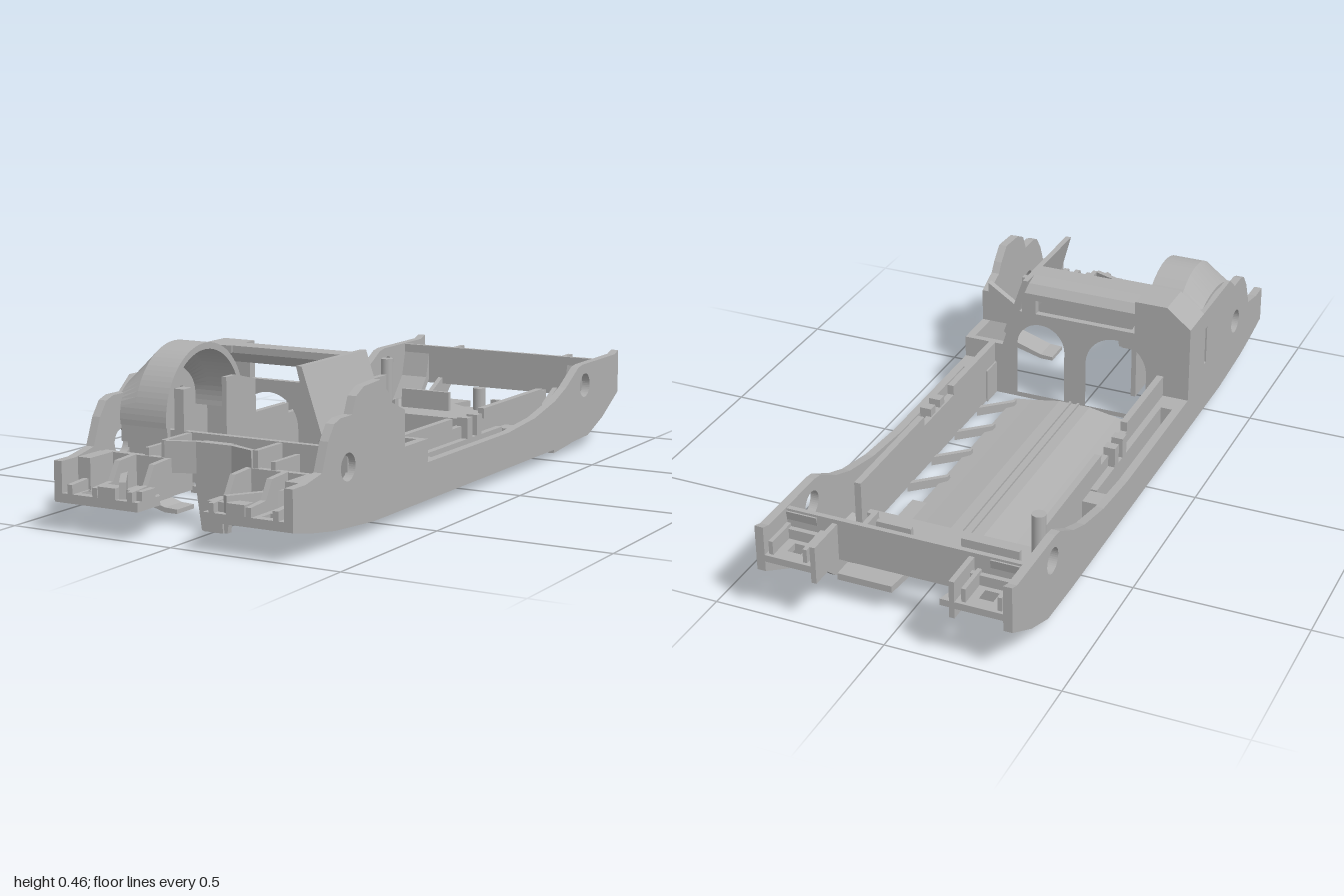
import * as THREE from 'three';

const grey = new THREE.MeshStandardMaterial({ color: 0xb0b0b0 });
grey.name = 'grey plastic';

export function createModel() {
  const model = new THREE.Group();
  model.name = 'chassis';

  const add = (name, geo) => {
    const m = new THREE.Mesh(geo, grey);
    m.name = name;
    model.add(m);
    return m;
  };
  const box = (name, x0, x1, y0, y1, z0, z1) => {
    const g = new THREE.BoxGeometry(x1 - x0, y1 - y0, z1 - z0);
    g.translate((x0 + x1) / 2, (y0 + y1) / 2, (z0 + z1) / 2);
    return add(name, g);
  };
  // The same box on both sides
  const pair = (name, x0, x1, ...r) => {
    box(name, x0, x1, ...r);
    box(name, -x1, -x0, ...r);
  };
  const poly = (pts) => new THREE.Shape(pts.map((p) => new THREE.Vector2(p[0], p[1])));
  const extrude = (shape, depth) =>
    new THREE.ExtrudeGeometry(shape, { depth, bevelEnabled: false, curveSegments: 20 });
  const round = (x, y, r) => new THREE.Path().absarc(x, y, r, 0, Math.PI * 2, true);
  const rect = (x0, x1, y0, y1) =>
    new THREE.Path([[x0, y0], [x0, y1], [x1, y1], [x1, y0]].map((p) => new THREE.Vector2(...p)));
  // Side profile (z, y) spanning x0..x1
  const side = (name, shape, x0, x1) =>
    add(name, extrude(shape, x1 - x0).rotateY(-Math.PI / 2).translate(x1, 0, 0));
  // Plan outline (x, z) spanning y0..y1
  const plan = (name, shape, y0, y1) =>
    add(name, extrude(shape, y1 - y0).rotateX(Math.PI / 2).translate(0, y1, 0));
  // Front outline (x, y) spanning z0..z1
  const front = (name, shape, z0, z1) => add(name, extrude(shape, z1 - z0).translate(0, 0, z0));
  const flip = (pts, s) => pts.map(([x, y]) => [x * s, y]);

  // Outer side walls with axle holes; the tops differ left and right
  const under = [[-1, 0.14], [-0.88, 0.075], [-0.77, 0.035], [-0.6, 0.03], [0.6, 0.03], [0.8, 0.045], [0.9, 0.06],
    [1, 0.08], [1, 0.19], [0.94, 0.19], [0.86, 0.205], [0.83, 0.28], [0.8, 0.32], [0.77, 0.33], [0.71, 0.33]];
  const rear = [[0.3, 0.135], [-0.2, 0.135], [-0.38, 0.15], [-0.52, 0.18], [-0.6, 0.21], [-0.69, 0.26], [-0.72, 0.265],
    [-0.97, 0.265], [-1, 0.275]];
  const tops = {
    1: [[0.69, 0.375], [0.65, 0.395], [0.56, 0.4], [0.52, 0.36], [0.5, 0.33], [0.43, 0.3], [0.43, 0.2], [0.3, 0.2]],
    [-1]: [[0.66, 0.37], [0.3, 0.37]],
  };
  for (const s of [1, -1]) {
    const shape = poly([...under, ...tops[s], ...rear]);
    shape.holes.push(round(0.73, 0.198, 0.037), round(-0.74, 0.198, 0.037));
    if (s < 0) shape.holes.push(rect(0.44, 0.455, 0.19, 0.31));
    side('outerWall', shape, s > 0 ? 0.34 : -0.365, s > 0 ? 0.365 : -0.34);

    // Inner rail with a notched top edge
    const rail = poly([[0.3, 0.03], [0.3, 0.2], [0, 0.2], [0, 0.17], [-0.2, 0.17], [-0.2, 0.2], [-0.6, 0.2], [-0.6, 0.03]]);
    side('innerRail', rail, s > 0 ? 0.265 : -0.285, s > 0 ? 0.285 : -0.265);

    // Diagonal ribs joining floor and rail
    for (const z of [-0.31, -0.15, 0.01, 0.17]) {
      plan('floorRib', poly(flip([[0.18, z + 0.08], [0.27, z], [0.27, z + 0.018], [0.18, z + 0.098]], s)), 0.008, 0.035);
    }
    // Curved rear wheel well liner
    const liner = poly([[-0.56, 0.03], [-0.68, 0.04], [-0.78, 0.09], [-0.84, 0.16], [-0.865, 0.255], [-0.88, 0.255],
      [-0.86, 0.15], [-0.79, 0.07], [-0.68, 0.02], [-0.56, 0.01]]);
    side('wheelWellLiner', liner, s > 0 ? 0.25 : -0.345, s > 0 ? 0.345 : -0.25);
    // Rising strut below the rear deck
    const strut = poly([[-0.5, 0.012], [-0.72, 0.015], [-0.88, 0.09], [-0.97, 0.17], [-0.88, 0.17], [-0.7, 0.08], [-0.5, 0.03]]);
    side('rearStrut', strut, s > 0 ? 0.2 : -0.215, s > 0 ? 0.215 : -0.2);

    // Bumper plates with square screw holes, rear and front
    const rearPlate = poly(flip([[0.19, -1], [0.35, -1], [0.35, -0.88], [0.19, -0.88]], s));
    rearPlate.holes.push(rect(s * 0.275 - 0.02, s * 0.275 + 0.02, -0.96, -0.92));
    plan('rearBumperPlate', rearPlate, 0.17, 0.19);
    const frontPlate = poly(flip([[0.13, 0.82], [0.35, 0.82], [0.35, 1], [0.1, 1], [0.1, 0.9], [0.13, 0.87]], s));
    frontPlate.holes.push(rect(s * 0.28 - 0.02, s * 0.28 + 0.02, 0.935, 0.975));
    plan('frontBumperPlate', frontPlate, 0.08, 0.105);
    // Sloping lower edge of the floor pan
    front('lowerSkirt', poly(flip([[0.345, 0.03], [0.24, 0.002], [0.2, 0.002], [0.2, 0.014], [0.24, 0.016], [0.345, 0.05]], s)), 0.6, 0.68);
    front('lowerSkirtRear', poly(flip([[0.345, 0.03], [0.25, 0.006], [0.2, 0.004], [0.2, 0.018], [0.25, 0.02], [0.345, 0.045]], s)), -0.6, -0.52);
  }
  // Bridges and clips between inner and outer rails
  pair('railBridge', 0.28, 0.345, 0.03, 0.13, -0.34, -0.28);
  pair('railBridge', 0.26, 0.345, 0.03, 0.135, 0.23, 0.3);
  pair('railLedge', 0.28, 0.305, 0.07, 0.135, -0.28, 0.23);
  for (const z of [-0.13, -0.07]) pair('railClip', 0.27, 0.305, 0.135, 0.195, z - 0.015, z + 0.015);

  // Gently raised floor, narrower toward the rear
  const top = [[-0.2, 0.018], [-0.14, 0.026], [-0.05, 0.042], [0.05, 0.042], [0.14, 0.026], [0.2, 0.018]];
  const bottom = top.map(([x, y]) => [x, y - 0.014]).reverse();
  front('floor', poly([...top, ...bottom]), -0.56, 0.3);
  for (const x of [-0.013, 0.013]) box('floorRidge', x - 0.003, x + 0.003, 0.04, 0.049, -0.56, 0.3);
  pair('floorEdge', 0.185, 0.23, 0.006, 0.02, -0.56, -0.36);

  // Rear deck with a notch, posts and partitions
  plan('rearDeck', poly([[-0.25, -0.56], [-0.25, -0.78], [-0.2, -0.87], [-0.1, -0.87], [-0.12, -0.79], [-0.07, -0.76],
    [0.03, -0.77], [0.04, -0.87], [0.2, -0.87], [0.25, -0.78], [0.25, -0.56]]), 0.07, 0.09);
  box('deckFrontLip', -0.27, 0.27, 0.015, 0.09, -0.57, -0.55);
  box('deckPartition', -0.24, -0.07, 0.09, 0.15, -0.67, -0.655);
  box('deckPartition', 0.08, 0.2, 0.09, 0.14, -0.67, -0.655);
  box('deckPartition', 0.185, 0.2, 0.09, 0.16, -0.81, -0.65);
  for (const [x, z, h] of [[0, -0.735, 0.08], [-0.275, -0.62, 0.17]]) {
    add('post', new THREE.CylinderGeometry(0.02, 0.02, h, 16).translate(x, 0.08 + h / 2, z));
  }
  box('rearCrossWall', -0.345, 0.345, 0.14, 0.262, -0.875, -0.86);
  pair('rearBumperRib', 0.19, 0.205, 0.14, 0.25, -1, -0.875);
  pair('rearBumperRib', 0.2, 0.35, 0.14, 0.22, -0.905, -0.89);
  pair('rearBumperRib', 0.22, 0.232, 0.17, 0.23, -0.99, -0.89);
  pair('rearBumperRib', 0.32, 0.332, 0.17, 0.23, -0.99, -0.89);

  // Firewall with two arched openings
  const wall = poly([[-0.345, 0.03], [-0.345, 0.325], [0.2, 0.325], [0.24, 0.2], [0.345, 0.2], [0.345, 0.03]]);
  for (const [x0, x1] of [[-0.23, -0.035], [0.035, 0.19]]) {
    const r = (x1 - x0) / 2, y = 0.29 - r;
    const arch = new THREE.Path();
    arch.moveTo(x0, 0.045);
    arch.lineTo(x0, y);
    arch.absarc((x0 + x1) / 2, y, r, Math.PI, 0, true);
    arch.lineTo(x1, 0.045);
    arch.closePath();
    wall.holes.push(arch);
  }
  front('firewall', wall, 0.3, 0.32);

  // Rounded cross beam, dropping to the right-hand wall
  const beam = side('crossBeam', poly([[0.3, 0.37], [0.3, 0.39], [0.32, 0.415], [0.35, 0.43], [0.415, 0.43], [0.415, 0.41],
    [0.35, 0.405], [0.325, 0.37]]), -0.28, 0.17);
  beam.geometry.computeVertexNormals();
  front('beamShoulder', poly([[-0.365, 0.3], [-0.365, 0.37], [-0.29, 0.43], [-0.19, 0.43], [-0.19, 0.325]]), 0.3, 0.325);
  front('beamShoulderTop', poly([[-0.365, 0.35], [-0.365, 0.37], [-0.29, 0.43], [-0.19, 0.43], [-0.19, 0.41], [-0.28, 0.41]]), 0.3, 0.42);
  box('beamPost', 0.13, 0.175, 0.32, 0.375, 0.3, 0.325);
  // Slanted motor guard and its triangular gusset
  front('motorGuard', poly([[0.155, 0.43], [0.172, 0.43], [0.235, 0.245], [0.22, 0.235], [0.205, 0.245]]), 0.3, 0.64);
  front('guardGusset', poly([[0.215, 0.2], [0.215, 0.245], [0.345, 0.33], [0.345, 0.2]]), 0.43, 0.45);

  // Arched gear cover whose outer edge slopes down to the wall
  const arc = new THREE.Shape();
  arc.absarc(0.55, 0.265, 0.19, -0.1, Math.PI + 0.1, false);
  arc.absarc(0.55, 0.265, 0.172, Math.PI + 0.1, -0.1, true);
  side('gearCover', arc, -0.29, -0.19);
  const slope = side('gearCoverShoulder', arc, -0.35, -0.29).geometry;
  const p = slope.attributes.position;
  for (let i = 0; i < p.count; i++) {
    if (p.getX(i) < -0.32 && p.getY(i) > 0.3) p.setY(i, 0.3 + (p.getY(i) - 0.3) * 0.55);
  }
  slope.computeVertexNormals();
  box('gearCoverFoot', -0.34, -0.19, 0.2, 0.3, 0.72, 0.735);
  const cheek = poly([[0.32, 0.1], [0.32, 0.325], [0.42, 0.35], [0.47, 0.35], [0.47, 0.1]]);
  side('gearCheek', cheek, -0.19, -0.175);
  box('gearCheekFront', -0.19, -0.16, 0.2, 0.35, 0.66, 0.7);

  // Front cross wall and battery trays behind the bumper
  box('frontCrossWall', -0.345, 0.345, 0.1, 0.237, 0.68, 0.7);
  pair('trayFloor', 0.14, 0.345, 0.08, 0.1, 0.69, 0.82);
  pair('trayWall', 0.135, 0.15, 0.08, 0.235, 0.69, 0.82);
  pair('trayWall', 0.19, 0.203, 0.1, 0.21, 0.69, 0.82);
  pair('trayFront', 0.13, 0.345, 0.08, 0.188, 0.805, 0.825);
  pair('lowerCrossBar', 0.05, 0.14, 0.072, 0.09, 0.68, 0.7);

  // Central tongue with angled wings and a foot
  front('tongue', poly([[-0.04, 0], [-0.062, 0.15], [-0.065, 0.235], [0.065, 0.235], [0.062, 0.15], [0.04, 0]]), 0.78, 0.798);
  box('tongueFoot', -0.03, 0.03, 0, 0.04, 0.775, 0.805);
  box('tongueClip', -0.045, 0.045, 0.15, 0.235, 0.77, 0.785);
  for (const s of [1, -1]) {
    plan('tongueWing', poly(flip([[0.055, 0.78], [0.135, 0.812], [0.135, 0.828], [0.055, 0.798]], s)), 0.15, 0.235);
    // Stepped ribs on the front bumper
    const web = poly([[0.82, 0.1], [0.82, 0.19], [0.9, 0.185], [0.93, 0.135], [1, 0.13], [1, 0.1]]);
    for (const x of [0.125, 0.235, 0.315]) side('bumperRib', web, s * x - 0.008, s * x + 0.008);
    plan('bumperBrace', poly(flip([[0.15, 0.98], [0.25, 0.83], [0.265, 0.84], [0.165, 0.99]], s)), 0.1, 0.15);
  }
  pair('bumperStep', 0.3, 0.345, 0.1, 0.19, 0.83, 0.93);
  pair('bumperStep', 0.1, 0.15, 0.1, 0.13, 0.92, 0.98);
  pair('bumperStep', 0.17, 0.225, 0.1, 0.135, 0.96, 1);
  return model;
}
